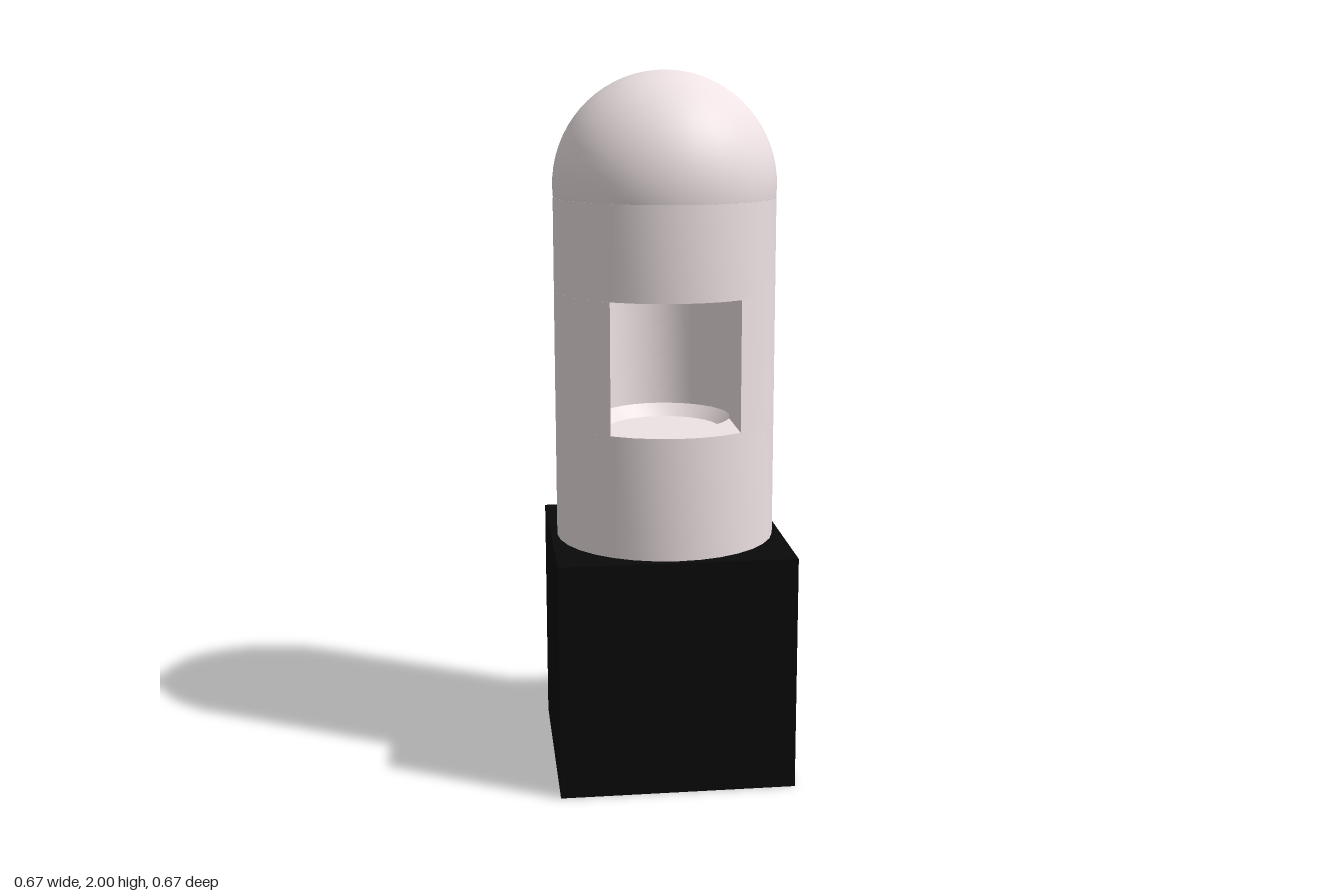
import * as THREE from 'three';
import { toCreasedNormals } from 'three/addons/utils/BufferGeometryUtils.js';

const R = 0.315;          // outer radius of the column
const INNER = 0.19;       // radius of the round chamber
const SLOT = 0.18;        // half width of the window
const SILL = 1.02, HEAD = 1.388, SHOULDER = 1.65, BASE = 0.675;
const SEGMENTS = 32;

const shellMaterial = new THREE.MeshStandardMaterial({ color: 0xeee2e4, side: THREE.DoubleSide });
const baseMaterial = new THREE.MeshStandardMaterial({ color: 0x0a0a0a });

function addMesh(group, name, geometry, material = shellMaterial) {
  const mesh = new THREE.Mesh(geometry, material);
  mesh.name = name;
  group.add(mesh);
  return mesh;
}

function lathe(profile, start = 0, length = Math.PI * 2) {
  const points = profile.map(([r, y]) => new THREE.Vector2(r, y));
  return toCreasedNormals(new THREE.LatheGeometry(points, SEGMENTS, start, length), 0.5);
}

function arcPoints(radius, from, to, steps) {
  return Array.from({ length: steps + 1 }, (_, i) => {
    const a = from + (to - from) * i / steps;
    return new THREE.Vector2(radius * Math.cos(a), radius * Math.sin(a));
  });
}

// C-shaped wall, open toward the front, extruded between sill and head
function windowWall() {
  const outer = Math.asin(SLOT / R), inner = Math.asin(SLOT / INNER);
  const front = -Math.PI / 2, back = 1.5 * Math.PI;
  const shape = new THREE.Shape([
    ...arcPoints(R, front + outer, back - outer, 26),
    ...arcPoints(INNER, back - inner, front + inner, 20),
  ]);
  const geometry = new THREE.ExtrudeGeometry(shape, { depth: HEAD - SILL, bevelEnabled: false });
  geometry.rotateX(-Math.PI / 2).translate(0, SILL, 0);
  return toCreasedNormals(geometry, 0.5);
}

export function createModel() {
  const group = new THREE.Group();
  group.name = 'domedColumn';

  // Square base block
  addMesh(group, 'base', new THREE.BoxGeometry(0.667, BASE, 0.667), baseMaterial).position.y = BASE / 2;

  // Lower column with the sunken, bevelled chamber floor
  addMesh(group, 'lowerColumn', lathe([
    [R, BASE], [R, SILL], [INNER, SILL], [0.16, 0.985], [0, 0.985],
  ]));

  // Wall around the window
  addMesh(group, 'windowWall', windowWall());

  // Upper column with the chamber ceiling as its underside
  addMesh(group, 'upperColumn', lathe([[0, HEAD], [R, HEAD], [R, SHOULDER]]));

  // Bevel between chamber wall and ceiling, only behind the window
  const opening = Math.asin(SLOT / INNER);
  addMesh(group, 'ceilingBevel', lathe(
    [[0.16, HEAD], [INNER, 1.355]], opening, Math.PI * 2 - opening * 2));

  // Dome, slightly more than half a sphere
  const domeRadius = 0.316, domeCentre = 2 - domeRadius;
  const sweep = Math.acos((SHOULDER - domeCentre) / domeRadius);
  addMesh(group, 'dome', new THREE.SphereGeometry(
    domeRadius, SEGMENTS, 18, 0, Math.PI * 2, 0, sweep)).position.y = domeCentre;

  return group;
}
